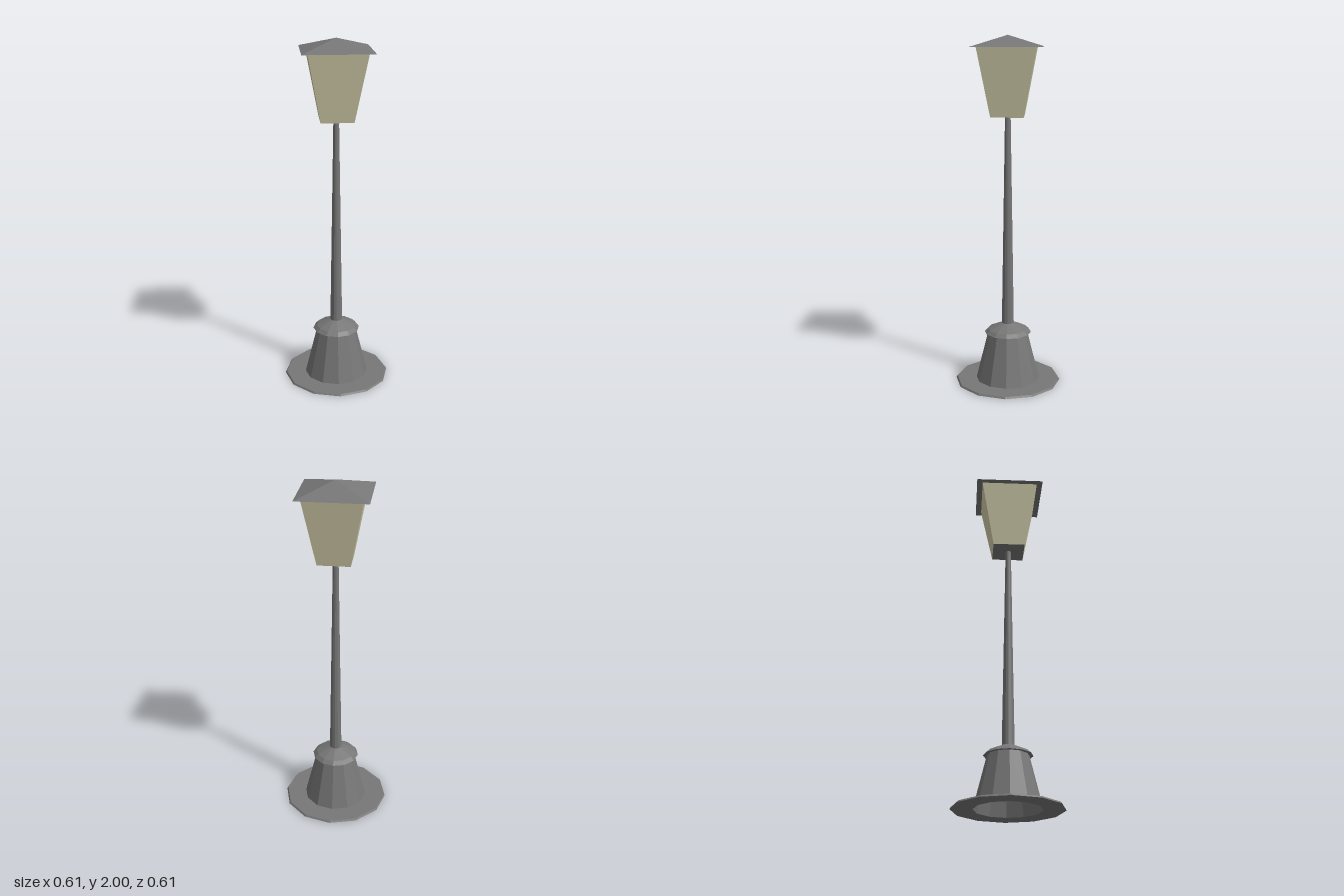
import * as THREE from 'three';

const SIDES = 12;

export function createModel() {
  const model = new THREE.Group();
  model.name = 'streetLamp';

  const iron = new THREE.MeshStandardMaterial({ color: 0x777777, flatShading: true, side: THREE.DoubleSide });
  const glass = new THREE.MeshStandardMaterial({ color: 0xcfcaa8, flatShading: true, side: THREE.DoubleSide });

  const add = (name, geometry, material, y = 0) => {
    const mesh = new THREE.Mesh(geometry, material);
    mesh.name = name;
    mesh.position.y = y;
    model.add(mesh);
    return mesh;
  };
  const lathe = (points) =>
    new THREE.LatheGeometry(points.map(([r, y]) => new THREE.Vector2(r, y)), SIDES);

  // Square frustum with flat sides facing the axes, sized by half-widths
  const squareFrustum = (top, bottom, height, open) =>
    new THREE.CylinderGeometry(top * Math.SQRT2, bottom * Math.SQRT2, height, 4, 1, open)
      .rotateY(Math.PI / 4)
      .translate(0, height / 2, 0);

  // Ground ring, open in the middle
  add('groundPlate', lathe([[0.187, 0], [0.307, 0], [0.3, 0.01], [0.187, 0.01]]), iron);

  // Hollow tapered pedestal and its overhanging cap
  add('pedestal', lathe([[0.187, 0], [0.115, 0.292]]), iron);
  add('pedestalCap', lathe([[0.112, 0.292], [0.136, 0.292], [0.115, 0.312], [0.03, 0.35]]), iron);

  // Tapered pole
  add('pole', new THREE.CylinderGeometry(0.016, 0.035, 1.21, SIDES, 1, true), iron, 0.95);

  // Lantern: floor, four glass panes, pyramid roof
  const floor = new THREE.PlaneGeometry(0.184, 0.184).rotateX(Math.PI / 2);
  add('lanternFloor', floor, iron, 1.555);
  add('lanternGlass', squareFrustum(0.163, 0.092, 0.382, true), glass, 1.555);
  add('lanternRoof', squareFrustum(0, 0.196, 0.063, false), iron, 1.937);

  return model;
}
